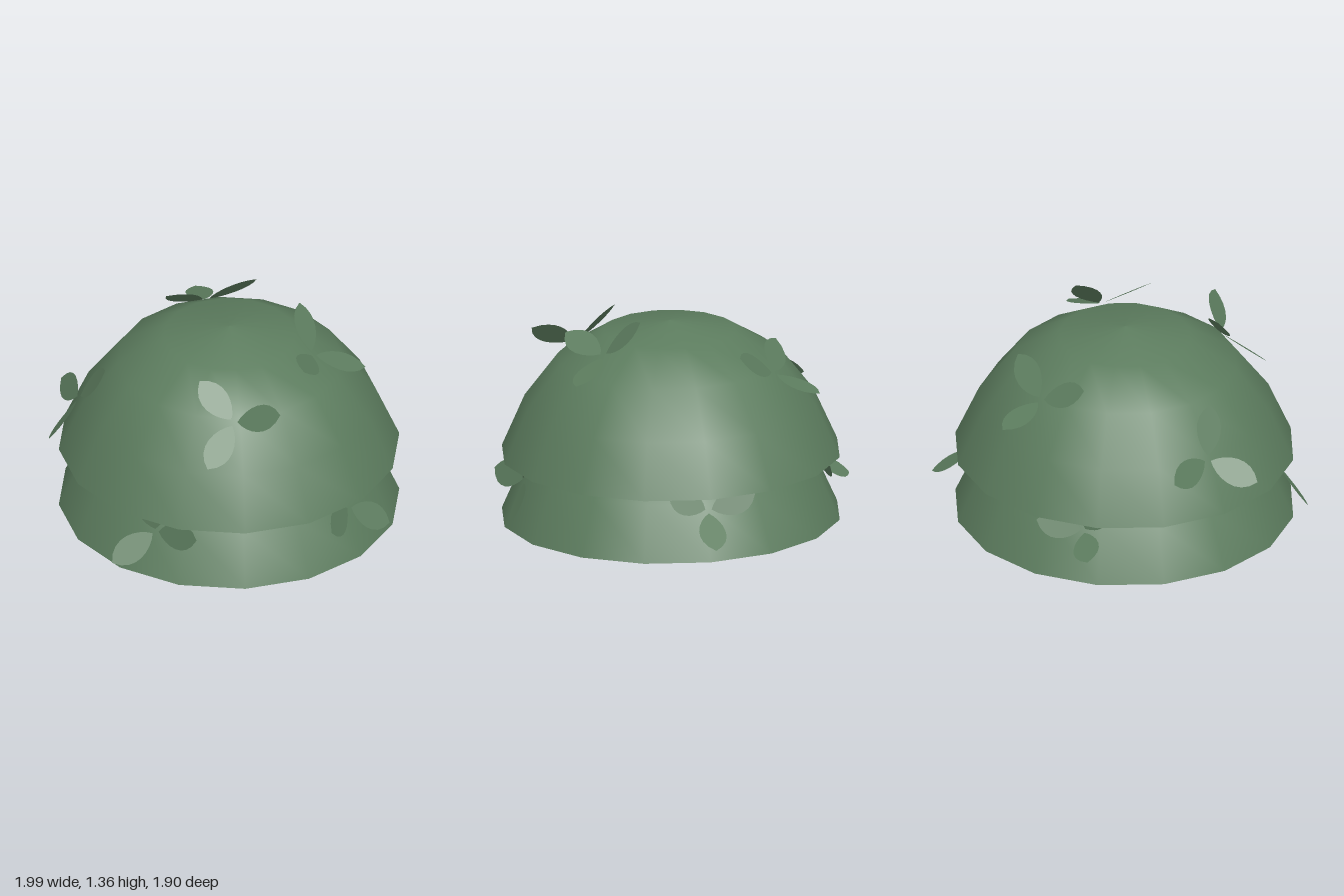
import * as THREE from 'three';

const green = new THREE.MeshStandardMaterial({ color: 0x5c7c5e, side: THREE.DoubleSide });
const V = (a) => new THREE.Vector3(...a);

function lathe(name, profile) {
  const points = profile.map(([r, y]) => new THREE.Vector2(r, y));
  const mesh = new THREE.Mesh(new THREE.LatheGeometry(points, 16), green);
  mesh.name = name;
  return mesh;
}

// Open faceted dome, rim at y = 0
function dome(name, rimY) {
  const mesh = lathe(name, [[0.94, 0], [0.81, 0.295], [0.62, 0.545], [0.365, 0.7], [0, 0.755]]);
  mesh.position.set(0, rimY, -0.01);
  mesh.rotation.x = 0.01;
  return mesh;
}

// Flat almond-shaped leaf, one unit long and wide along +y
const leafShape = new THREE.Shape();
leafShape.moveTo(0, 0);
leafShape.bezierCurveTo(0.42, 0.2, 0.75, 0.72, 0, 1);
leafShape.bezierCurveTo(-0.75, 0.72, -0.42, 0.2, 0, 0);
const leafGeometry = new THREE.ShapeGeometry(leafShape, 8);

// Leaf from base to tip, lying as flat as possible against the outward direction
function leaf(base, tip, outward) {
  const along = tip.clone().sub(base);
  const length = along.length();
  along.normalize();
  const side = along.clone().cross(outward).normalize();
  const normal = side.clone().cross(along);
  const mesh = new THREE.Mesh(leafGeometry, green);
  mesh.name = 'leaf';
  mesh.quaternion.setFromRotationMatrix(new THREE.Matrix4().makeBasis(side, along, normal));
  mesh.scale.set(0.17, length * 0.93, 1);
  mesh.position.copy(base).addScaledVector(along, length * 0.07);
  return mesh;
}

// Sprigs: centre followed by three leaf tips
const upperSprigs = [
  [[-0.27, 1.03, 0.56], [-0.38, 1.22, 0.36], [-0.5, 0.86, 0.68], [-0.1, 1.15, 0.78]],
  [[0.35, 1.15, 0.31], [0.38, 1.36, 0.1], [0.62, 1.05, 0.42], [0.17, 1.22, 0.55]],
  [[0.17, 1.04, -0.61], [0.25, 0.96, -0.88], [-0.09, 1.16, -0.58], [0.41, 1.19, -0.46]],
  [[-0.75, 0.82, -0.36], [-1, 0.69, -0.24], [-0.71, 0.78, -0.64], [-0.67, 1.06, -0.2]],
];
const lowerSprigs = [
  [[0.77, 0.42, -0.34], [0.99, 0.26, -0.42], [0.84, 0.52, -0.13], [0.7, 0.51, -0.59]],
  [[0.34, 0.41, 0.75], [0.13, 0.41, 0.95], [0.58, 0.25, 0.78], [0.37, 0.57, 0.8]],
  [[-0.7, 0.39, 0.45], [-0.94, 0.22, 0.39], [-0.6, 0.46, 0.74], [-0.72, 0.57, 0.4]],
  [[-0.22, 0.42, -0.79], [-0.34, 0.33, -0.95], [0.02, 0.47, -0.9], [-0.3, 0.57, -0.76]],
];

function sprig(name, [centre, ...tips], domeCentreY) {
  const group = new THREE.Group();
  group.name = name;
  const base = V(centre);
  const outward = base.clone().sub(new THREE.Vector3(0, domeCentreY, 0)).normalize();
  for (const tip of tips) group.add(leaf(base, V(tip), outward));
  return group;
}

export function createModel() {
  const model = new THREE.Group();
  model.name = 'bush';
  model.add(dome('upperFoliage', 0.51), dome('lowerFoliage', 0.15));

  // Rounded inner core, open below, with its front edge lifted slightly
  const core = lathe('innerFoliage', [
    [0.37, 0], [0.55, 0.09], [0.65, 0.27], [0.69, 0.46], [0.6, 0.63], [0.35, 0.78], [0, 0.84],
  ]);
  const p = core.geometry.attributes.position;
  for (let i = 0; i < p.count; i++) {
    const lift = 0.1 * Math.max(0, p.getZ(i)) * Math.max(0, 1 - p.getY(i) / 0.5);
    p.setY(i, p.getY(i) + lift);
  }
  core.position.z = -0.01;
  model.add(core);

  for (const s of upperSprigs) model.add(sprig('upperSprig', s, 0.4));
  for (const s of lowerSprigs) model.add(sprig('lowerSprig', s, 0.05));
  return model;
}
